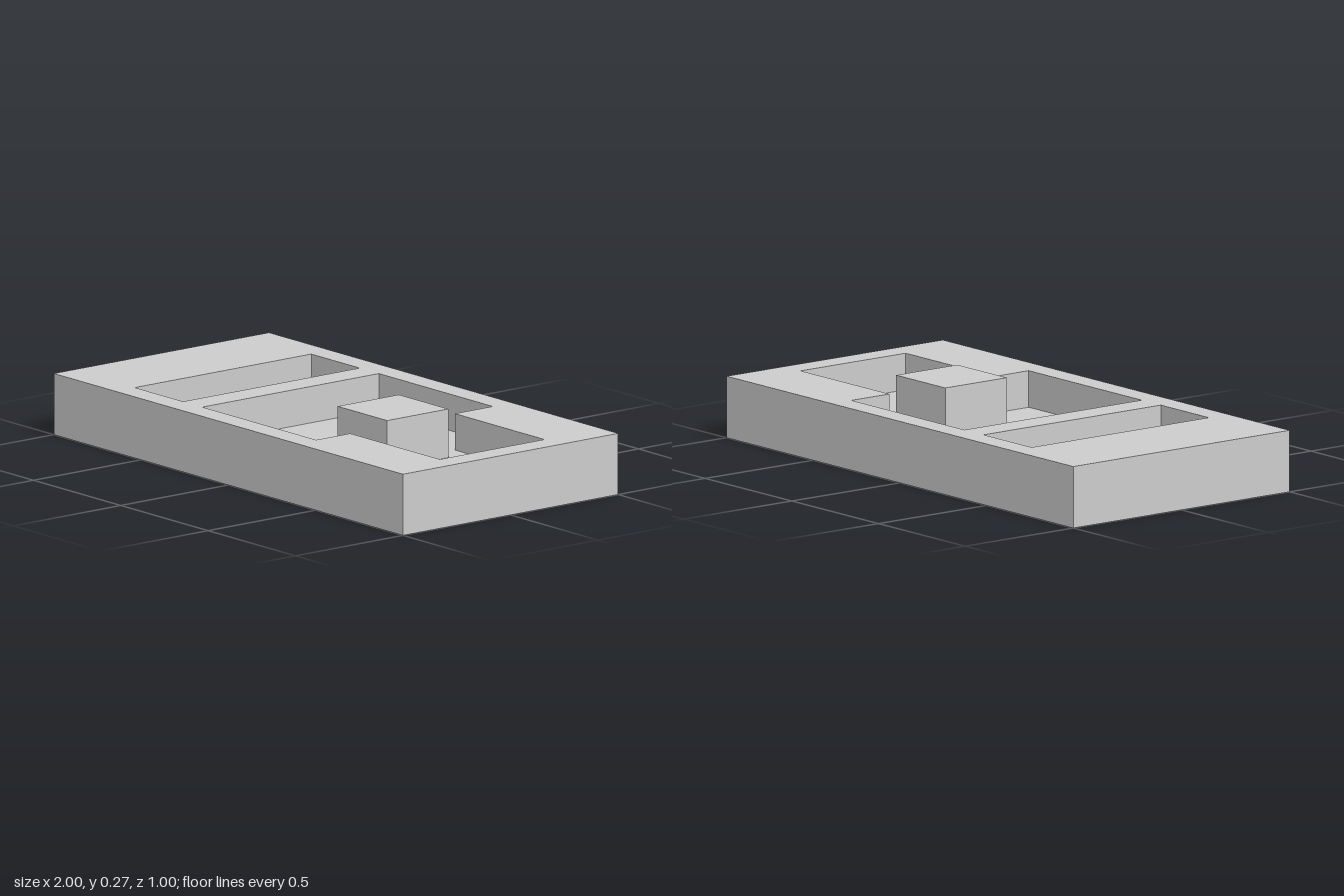
import * as THREE from 'three';

const FLOOR = 0.092;     // height of the pocket floors
const RIM = 0.227;       // height of the top face
const BLOCK_TOP = 0.272; // height of the raised block

// Closed outline from [x, z] points; z is flipped because the extrusion is laid flat
const outline = (points, Type) =>
  new Type(points.map(([x, z]) => new THREE.Vector2(x, -z)));

const rect = (x0, x1, z0, z1) => [[x0, z1], [x1, z1], [x1, z0], [x0, z0]];

export function createModel() {
  const group = new THREE.Group();
  const material = new THREE.MeshStandardMaterial({ color: 0xcccccc, flatShading: true });

  const addPart = (name, geometry, x, y, z) => {
    const mesh = new THREE.Mesh(geometry, material);
    mesh.name = name;
    mesh.position.set(x, y, z);
    group.add(mesh);
  };

  // Solid slab that closes the pockets from below
  addPart('baseSlab', new THREE.BoxGeometry(2, FLOOR, 1), 0, FLOOR / 2, 0);

  // Upper plate with a narrow slot and a stepped pocket cut through it
  const plate = outline(rect(-1, 1, -0.5, 0.5), THREE.Shape);
  const slot = rect(-0.647, -0.37, -0.41, 0.41);
  const steppedPocket = [
    [-0.26, 0.41], [0.392, 0.41], [0.392, 0.252], [0.905, 0.252],
    [0.905, -0.234], [0.392, -0.234], [0.392, -0.41], [-0.26, -0.41],
  ];
  plate.holes.push(outline(slot, THREE.Path), outline(steppedPocket, THREE.Path));
  const plateGeometry = new THREE.ExtrudeGeometry(plate, { depth: RIM - FLOOR, bevelEnabled: false });
  plateGeometry.rotateX(-Math.PI / 2);
  addPart('pocketedPlate', plateGeometry, 0, FLOOR, 0);

  // Square block standing on the pocket floor and rising above the rim
  const blockHeight = BLOCK_TOP - FLOOR;
  addPart('raisedBlock', new THREE.BoxGeometry(0.284, blockHeight, 0.284), 0.325, FLOOR + blockHeight / 2, -0.001);

  return group;
}
